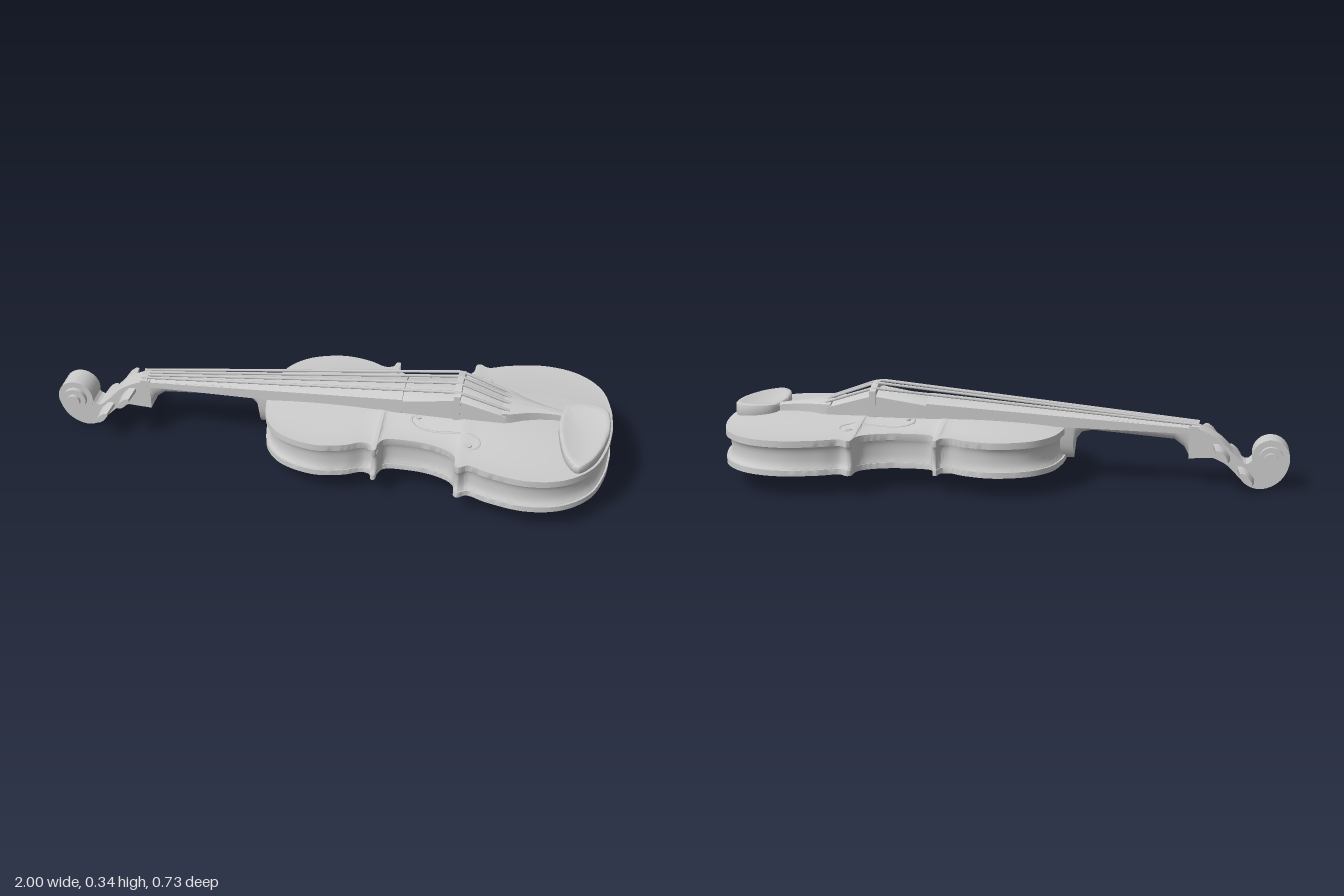
import * as THREE from 'three';
import { toCreasedNormals } from 'three/addons/utils/BufferGeometryUtils.js';

const material = new THREE.MeshStandardMaterial({ color: 0xcccccc });

// Skin a list of rings of [x, y, z] points; closed rings may get end caps.
function loft(rings, { closed = true, caps = true, crease = 0.6 } = {}) {
  const n = rings[0].length, index = [];
  for (let i = 0; i < rings.length - 1; i++) {
    for (let j = 0; j < (closed ? n : n - 1); j++) {
      const a = i * n + j, b = i * n + (j + 1) % n;
      index.push(a, a + n, b, b, a + n, b + n);
    }
  }
  if (closed && caps) {
    const last = (rings.length - 1) * n;
    for (let j = 1; j < n - 1; j++) index.push(0, j, j + 1, last, last + j + 1, last + j);
  }
  const geometry = new THREE.BufferGeometry();
  geometry.setAttribute('position', new THREE.Float32BufferAttribute(rings.flat(2), 3));
  geometry.setIndex(index);
  return toCreasedNormals(geometry, crease);
}

// Bar along x with a flat bottom and arched top: [x, bottom, side top, centre top, half width].
function archedBar(sections) {
  return loft(sections.map(([x, bottom, side, top, hw]) => {
    const ring = [[x, bottom, -hw], [x, bottom, hw]];
    for (let k = 0; k <= 10; k++) {
      const u = 1 - k / 5;
      ring.push([x, side + (top - side) * (1 - u * u), hw * u]);
    }
    return ring;
  }));
}

// Half outline of the body, as x and half width.
const halfOutline = new THREE.CatmullRomCurve3([
  [-0.22, 0], [-0.213, 0.08], [-0.185, 0.18], [-0.12, 0.253], [0, 0.292], [0.1, 0.275],
  [0.16, 0.247], [0.188, 0.255], [0.199, 0.285], [0.211, 0.282], [0.215, 0.245], [0.232, 0.215],
  [0.31, 0.206], [0.4, 0.218], [0.465, 0.25], [0.483, 0.28], [0.487, 0.322], [0.5, 0.33],
  [0.53, 0.312], [0.6, 0.338], [0.73, 0.363], [0.85, 0.335], [0.94, 0.25], [0.983, 0.12], [0.995, 0],
].map(([x, z]) => new THREE.Vector3(x, 0, z)), false, 'centripetal').getPoints(160);

const MID = 0.3875;
const lengthwise = x => Math.pow(Math.max(0, 1 - ((x - MID) / 0.6075) ** 2), 0.7);
const arch = (x, s) => lengthwise(x) * (0.5 + 0.5 * Math.cos(Math.PI * s));
const halfWidth = x => halfOutline.reduce((p, q) => Math.abs(q.x - x) < Math.abs(p.x - x) ? q : p).z;
const EDGE_TOP = 0.204, EDGE_BOTTOM = 0.08, RISE = 0.034;
const deckHeight = (x, z) => EDGE_TOP + RISE * arch(x, Math.min(1, Math.abs(z) / halfWidth(x)));

// Arched plate; direction +1 is the top, -1 the back.
function plate(direction) {
  return loft(halfOutline.map(p => {
    const row = [];
    for (let j = 0; j <= 28; j++) {
      const s = direction * (1 - j / 14);
      const y = (direction > 0 ? EDGE_TOP : EDGE_BOTTOM) + direction * RISE * arch(p.x, s);
      row.push([p.x, y, p.z * s]);
    }
    return row;
  }), { closed: false, crease: 1 });
}

// Plate edges and hollow-curved ribs, as [inset, y].
function sides() {
  const loop = [
    ...halfOutline.map(p => [p.x, -p.z]),
    ...halfOutline.slice(1, -1).reverse().map(p => [p.x, p.z]),
  ];
  const profile = [[0, EDGE_BOTTOM], [0, 0.1], [0.006, 0.1], [0.011, 0.107], [0.015, 0.118], [0.017, 0.13],
    [0.017, 0.152], [0.015, 0.164], [0.011, 0.175], [0.006, 0.181], [0, 0.181], [0, EDGE_TOP]];
  return loft(profile.map(([d, y]) => loop.map(([x, z]) =>
    [MID + (x - MID) * (1 - d / 0.6075), y, z * (1 - d / 0.363)])), { caps: false });
}

// Rounded neck with heel: [x, top, bottom, half width].
function neck() {
  return loft([
    [-0.665, 0.215, 0.107, 0.04], [-0.65, 0.216, 0.11, 0.04], [-0.635, 0.217, 0.14, 0.04],
    [-0.6, 0.22, 0.167, 0.041], [-0.5, 0.228, 0.175, 0.043], [-0.4, 0.236, 0.183, 0.046],
    [-0.31, 0.242, 0.19, 0.048], [-0.275, 0.244, 0.182, 0.049], [-0.255, 0.244, 0.155, 0.05],
    [-0.247, 0.244, 0.085, 0.05], [-0.18, 0.244, 0.085, 0.05],
  ].map(([x, top, bottom, hw]) => {
    const ring = [];
    for (let k = 0; k <= 14; k++) {
      const t = Math.PI * (1 + k / 14);
      ring.push([x, top - (top - bottom) * Math.pow(Math.abs(Math.sin(t)), 0.7), hw * Math.cos(t)]);
    }
    return ring;
  }));
}

// Side profile of the peg box and the curl below the scroll.
function pegBox() {
  const shape = new THREE.Shape();
  shape.moveTo(-0.65, 0.222);
  shape.splineThru([[-0.7, 0.207], [-0.76, 0.175], [-0.81, 0.125], [-0.85, 0.095], [-0.88, 0.12], [-0.9, 0.165],
    [-0.935, 0.183], [-0.98, 0.164], [-1, 0.115], [-0.985, 0.06], [-0.95, 0.022], [-0.9, 0.005],
    [-0.855, 0.018], [-0.82, 0.052], [-0.78, 0.09], [-0.735, 0.112]].map(p => new THREE.Vector2(...p)));
  shape.lineTo(-0.65, 0.107);
  const geometry = new THREE.ExtrudeGeometry(shape, { depth: 0.08, bevelEnabled: false, curveSegments: 70 });
  return toCreasedNormals(geometry.translate(0, 0, -0.04), 0.6);
}

// Dished chin rest, leaning down towards its narrow end.
function chinRest() {
  const loop = new THREE.CatmullRomCurve3([[0.83, -0.045], [0.9, -0.073], [0.965, -0.05], [0.985, 0.03],
    [0.975, 0.13], [0.94, 0.24], [0.89, 0.295], [0.85, 0.25], [0.822, 0.15], [0.812, 0.05],
  ].map(([x, z]) => new THREE.Vector3(x, 0, z)), true).getPoints(60).slice(0, -1);
  const profile = [[0.97, 0], [1, 0.25], [1, 0.75], [0.985, 0.93], [0.93, 1], [0.8, 0.93], [0.5, 0.78], [0.02, 0.7]];
  return loft(profile.map(([scale, t]) => loop.map(p => {
    const x = 0.9 + (p.x - 0.9) * scale, z = 0.1 + (p.z - 0.1) * scale;
    return [x, 0.205 + t * (0.033 + (0.295 - z) * 0.05), z];
  })), { crease: 0.9 });
}

export function createModel() {
  const model = new THREE.Group();
  const add = (name, geometry, parent = model) => {
    const mesh = new THREE.Mesh(geometry, material);
    mesh.name = name;
    parent.add(mesh);
    return mesh;
  };
  const rod = (name, points, radius) => add(name, new THREE.TubeGeometry(
    new THREE.CatmullRomCurve3(points.map(p => new THREE.Vector3(...p))), 48, radius, 6));
  const disc = (name, radius, depth, x, y) => {
    const mesh = add(name, new THREE.CylinderGeometry(radius, radius, depth, 32));
    mesh.rotation.x = Math.PI / 2;
    mesh.position.set(x, y, 0);
  };

  // Body
  add('topPlate', plate(1));
  add('backPlate', plate(-1));
  add('ribs', sides());

  // Neck, head and scroll
  add('neck', neck());
  add('pegBox', pegBox());
  disc('scrollOuterTurn', 0.065, 0.09, -0.935, 0.118);
  disc('scrollInnerTurn', 0.043, 0.125, -0.935, 0.118);
  disc('scrollEye', 0.024, 0.15, -0.935, 0.118);
  add('nut', archedBar([[-0.685, 0.19, 0.22, 0.227, 0.041], [-0.66, 0.19, 0.222, 0.229, 0.041]]));

  // Tuning pegs, alternating sides
  [[-0.85, 0.062, -1], [-0.81, 0.1, 1], [-0.765, 0.14, -1], [-0.725, 0.172, 1]].forEach(([x, y, side]) => {
    const peg = new THREE.Group();
    peg.name = 'tuningPeg';
    add('pegShaft', new THREE.CylinderGeometry(0.012, 0.01, 0.11, 12), peg).position.y = 0.035;
    const head = new THREE.CylinderGeometry(0.03, 0.042, 0.065, 8).scale(1, 1, 0.38);
    add('pegHead', toCreasedNormals(head, 0.9), peg).position.y = 0.098;
    peg.rotation.set(side * Math.PI / 2, 0, Math.PI / 4, 'ZXY');
    peg.position.set(x, y, 0);
    model.add(peg);
  });

  // Fingerboard, bridge and tailpiece
  add('fingerboard', archedBar([[-0.67, 0.195, 0.214, 0.222, 0.04], [0.27, 0.222, 0.281, 0.299, 0.078]]));
  add('bridgeSupport', archedBar([[0.26, 0.222, 0.272, 0.288, 0.076], [0.46, 0.222, 0.304, 0.322, 0.082],
    [0.63, 0.222, 0.256, 0.268, 0.078]]));
  add('bridge', archedBar([[0.449, 0.22, 0.322, 0.34, 0.086], [0.472, 0.22, 0.322, 0.34, 0.086]]));
  add('tailpiece', archedBar([[0.615, 0.222, 0.268, 0.279, 0.078], [0.645, 0.222, 0.266, 0.277, 0.072],
    [0.69, 0.222, 0.261, 0.271, 0.048], [0.74, 0.22, 0.256, 0.264, 0.03], [0.79, 0.215, 0.25, 0.256, 0.019],
    [0.87, 0.205, 0.24, 0.244, 0.014]]));
  add('chinRest', chinRest());

  // Strings
  [-1, -1 / 3, 1 / 3, 1].forEach(u => {
    const crown = 0.341 - 0.011 * u * u;
    const path = new THREE.CurvePath();
    const points = [[-0.685, 0.225, 0.026 * u], [0.46, crown, 0.068 * u], [0.64, 0.276 - 0.006 * u * u, 0.056 * u]]
      .map(p => new THREE.Vector3(...p));
    path.add(new THREE.LineCurve3(points[0], points[1]));
    path.add(new THREE.LineCurve3(points[1], points[2]));
    add('string', new THREE.TubeGeometry(path, 40, 0.005, 6));
  });

  // Sound holes, traced on the top plate
  for (const side of [-1, 1]) {
    const path = [[0.335, 0.09], [0.315, 0.082], [0.308, 0.105], [0.34, 0.137], [0.4, 0.148], [0.46, 0.147],
      [0.52, 0.155], [0.553, 0.182], [0.55, 0.215], [0.522, 0.226], [0.505, 0.208]];
    rod('soundHole', path.map(([x, z]) => [x, deckHeight(x, z) - 0.002, side * z]), 0.005);
    for (const [x, z, r] of [[0.332, 0.09, 0.009], [0.518, 0.208, 0.013]]) {
      add('soundHoleEnd', new THREE.CylinderGeometry(r, r, 0.006, 16)).position.set(x, deckHeight(x, z), side * z);
    }
  }
  return model;
}
